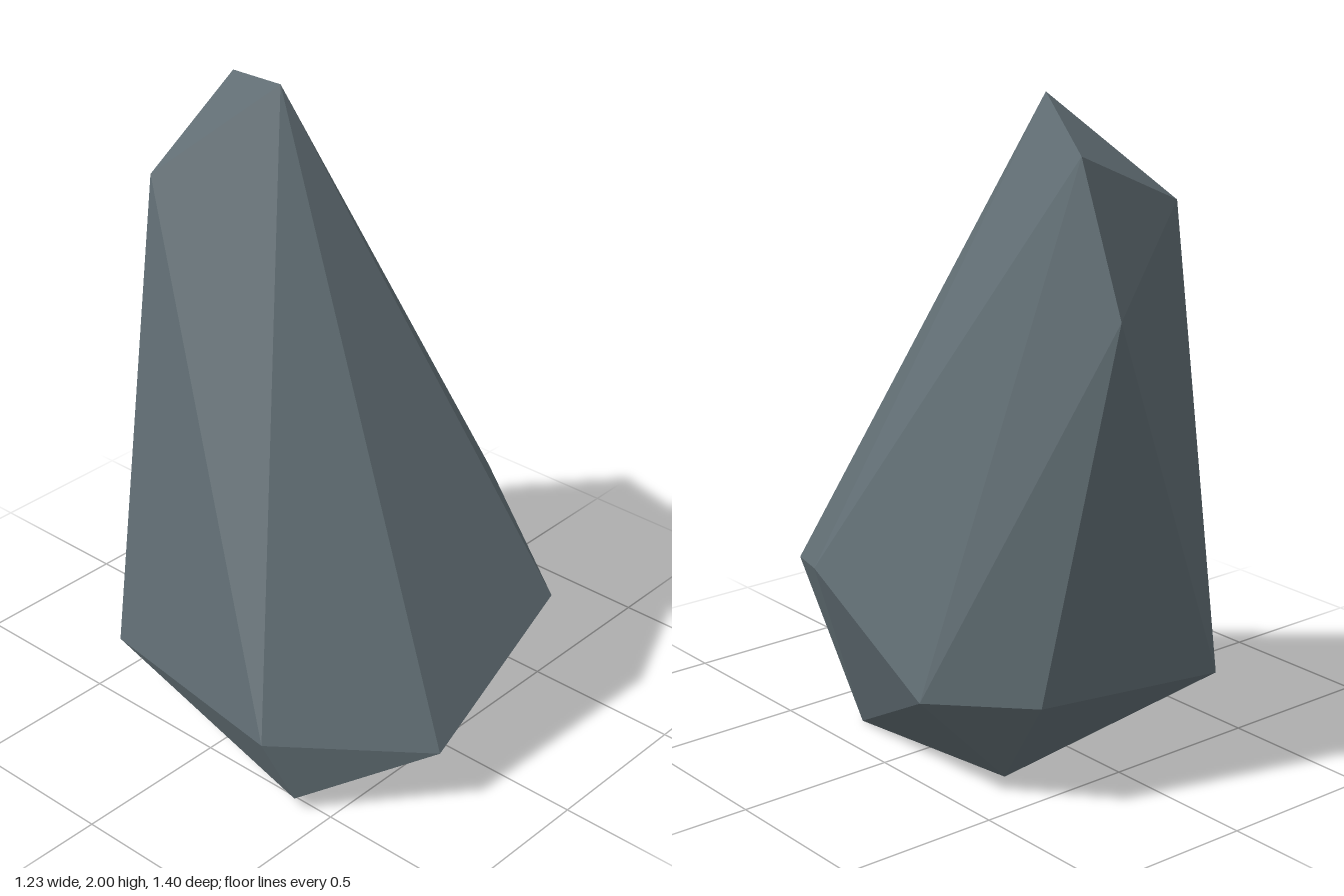
import * as THREE from 'three';
import { ConvexGeometry } from 'three/addons/geometries/ConvexGeometry.js';

export function createModel() {
  const model = new THREE.Group();
  model.name = 'standingRock';

  const stone = new THREE.MeshStandardMaterial({ color: 0x616e74 });
  stone.name = 'slateStone';

  // Corners of the faceted boulder, ring by ring
  const peak = [[0, 2, -0.15], [0.195, 1.89, -0.53], [-0.23, 1.705, -0.46], [0.195, 1.46, -0.7]];
  const belt = [
    [-0.615, 0.24, 0.33], [-0.24, 0.19, 0.7], [0.345, 0.44, 0.65], [0.615, 0.6, 0.18],
    [0.6, 0.325, -0.31], [0.38, 0.34, -0.59], [-0.455, 0.18, -0.44],
  ];
  const foot = [[0.37, 0, 0.29], [-0.55, 0.045, 0.4], [0.29, 0.005, -0.315]];

  // Flat facets wrapped around the corners
  const corners = [...peak, ...belt, ...foot].map((p) => new THREE.Vector3(...p));
  const rock = new THREE.Mesh(new ConvexGeometry(corners), stone);
  rock.name = 'rock';
  model.add(rock);

  return model;
}
